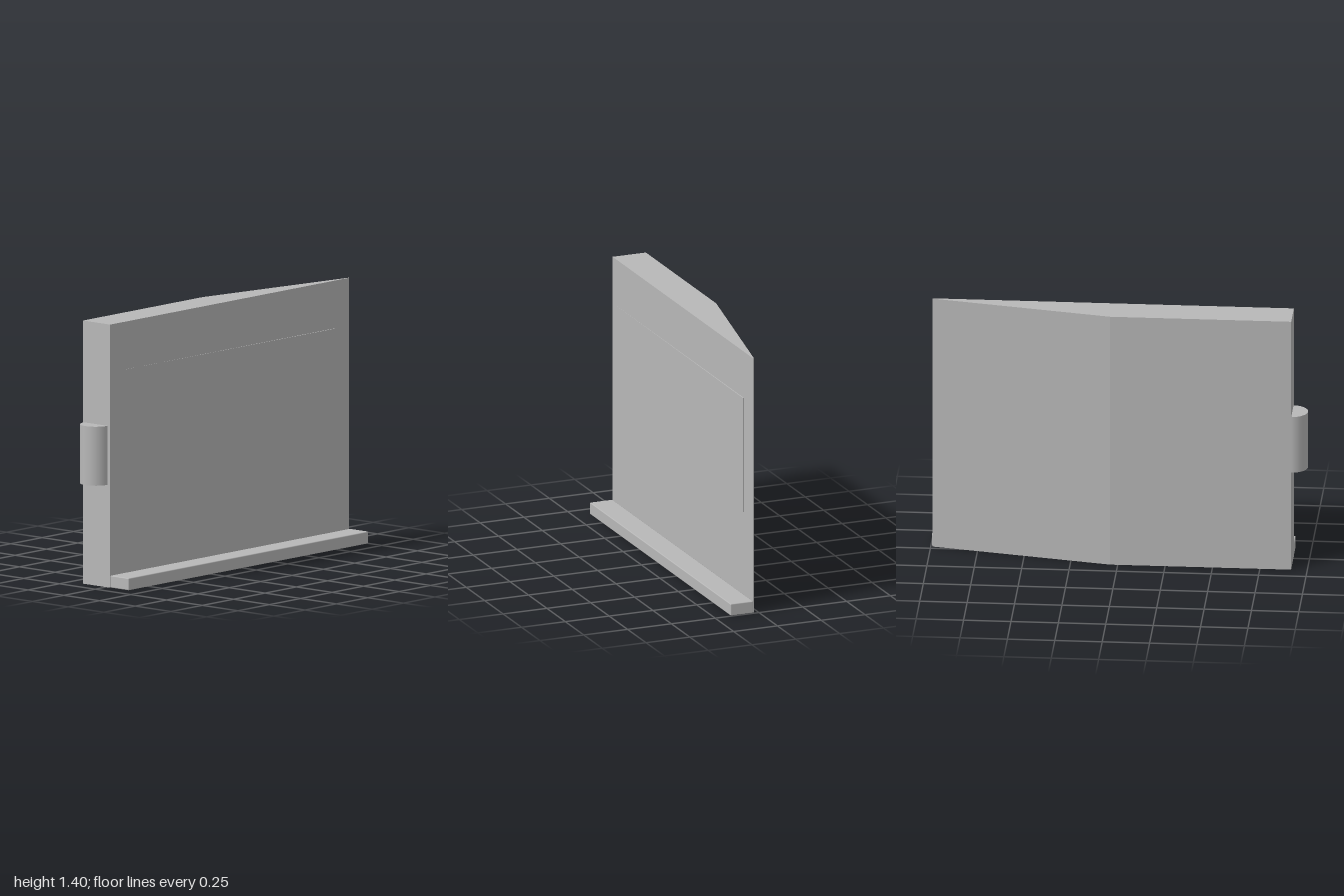
import * as THREE from 'three';
import { RoundedBoxGeometry } from 'three/addons/geometries/RoundedBoxGeometry.js';

const grey = new THREE.MeshStandardMaterial({ color: 0xb8b8b8 });
grey.name = 'grey';

// Extrudes a plan outline of [x, z] points upwards from y0 to y1
function prism(name, plan, y0, y1) {
  const shape = new THREE.Shape(plan.map(([x, z]) => new THREE.Vector2(x, -z)));
  const geometry = new THREE.ExtrudeGeometry(shape, { depth: y1 - y0, bevelEnabled: false });
  geometry.rotateX(-Math.PI / 2);
  geometry.translate(0, y0, 0);
  const mesh = new THREE.Mesh(geometry, grey);
  mesh.name = name;
  return mesh;
}

export function createModel() {
  const group = new THREE.Group();
  group.name = 'wedgePanel';

  // Upright slab, its back tapering to a thin edge on the left
  group.add(prism('slab', [[-0.915, 0.03], [0.99, 0.03], [0.99, 0.025], [0.04, -0.16], [-0.915, -0.16]], 0, 1.405));

  // Shallow front panel that rises gently towards the left
  group.add(prism('frontPanel', [[-0.88, 0.0295], [0.868, 0.0295], [0.868, 0.036], [-0.88, 0.0305]], 0.52, 1.15));

  // Shelf along the foot
  const shelf = new THREE.Mesh(new RoundedBoxGeometry(1.91, 0.065, 0.13, 1, 0.005), grey);
  shelf.position.set(0.04, 0.0325, 0.095);
  shelf.name = 'shelf';
  group.add(shelf);

  // Half-round side grip
  const grip = new THREE.Group();
  grip.name = 'sideGrip';
  const radius = 0.083, height = 0.315;
  const round = new THREE.Mesh(
    new THREE.CylinderGeometry(radius, radius, height, 16, 1, false, Math.PI, Math.PI), grey);
  round.name = 'gripRound';
  grip.add(round);
  grip.position.set(-0.915, 0.705, -0.07);
  group.add(grip);

  return group;
}
